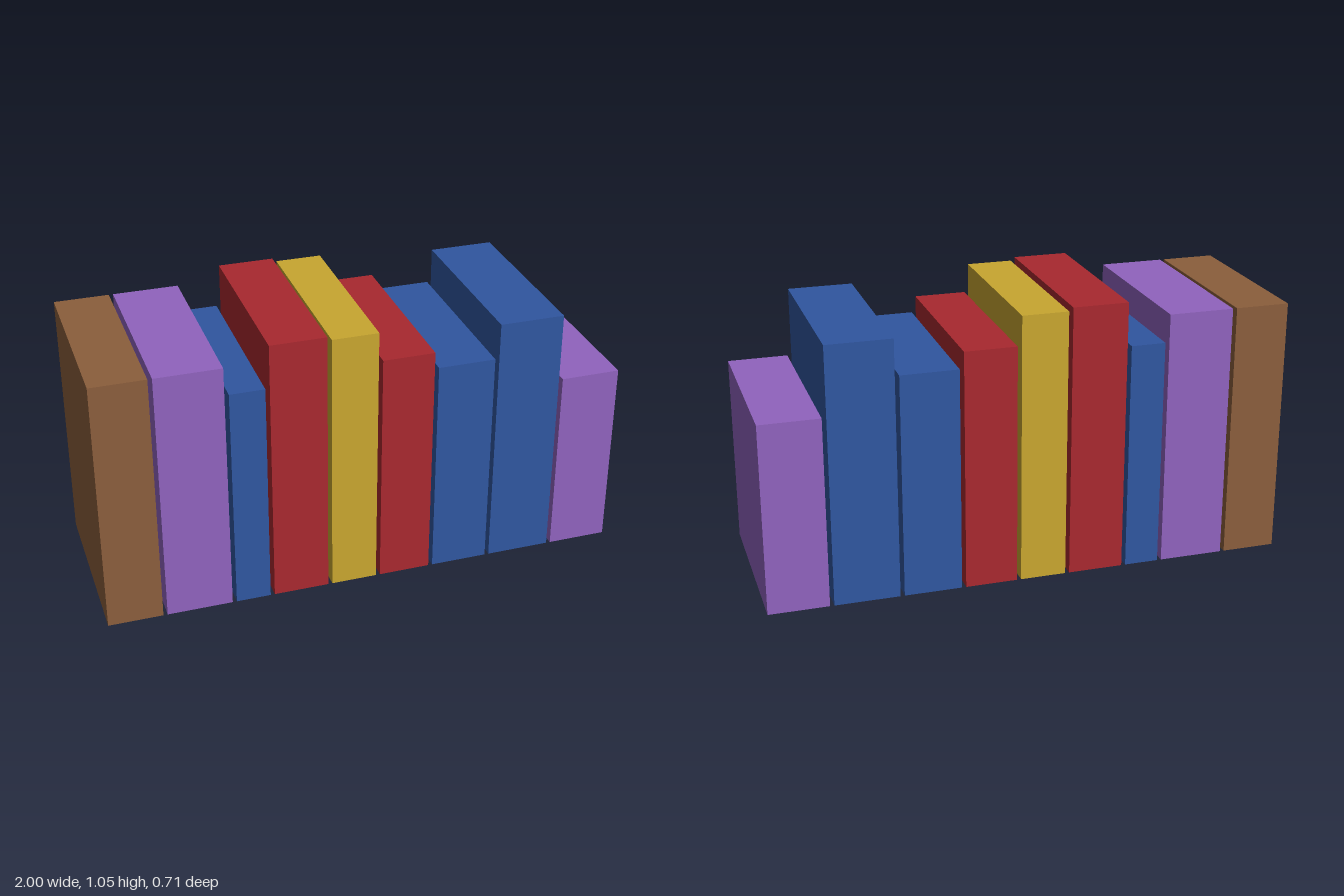
import * as THREE from 'three';

const paint = (name, color) => {
  const m = new THREE.MeshStandardMaterial({ color });
  m.name = name;
  return m;
};

export function createModel() {
  const brown = paint('brown', 0x8b5e3c);
  const purple = paint('purple', 0x9063be);
  const blue = paint('blue', 0x3056a0);
  const red = paint('red', 0xa8282f);
  const gold = paint('gold', 0xc8a630);

  const depth = 0.706;
  // Each book: left edge, right edge, height, cover colour
  const books = [
    [-1, -0.793, 0.993, brown],
    [-0.777, -0.528, 0.993, purple],
    [-0.512, -0.38, 0.886, blue],
    [-0.364, -0.152, 1.054, red],
    [-0.136, 0.04, 1.041, gold],
    [0.056, 0.255, 0.928, red],
    [0.271, 0.491, 0.864, blue],
    [0.507, 0.755, 1.002, blue],
    [0.771, 1, 0.735, purple],
  ];

  const group = new THREE.Group();
  group.name = 'bookRow';
  books.forEach(([x0, x1, height, material], i) => {
    const book = new THREE.Mesh(new THREE.BoxGeometry(x1 - x0, height, depth), material);
    book.position.set((x0 + x1) / 2, height / 2, 0);
    book.name = `book${i + 1}`;
    group.add(book);
  });
  return group;
}
